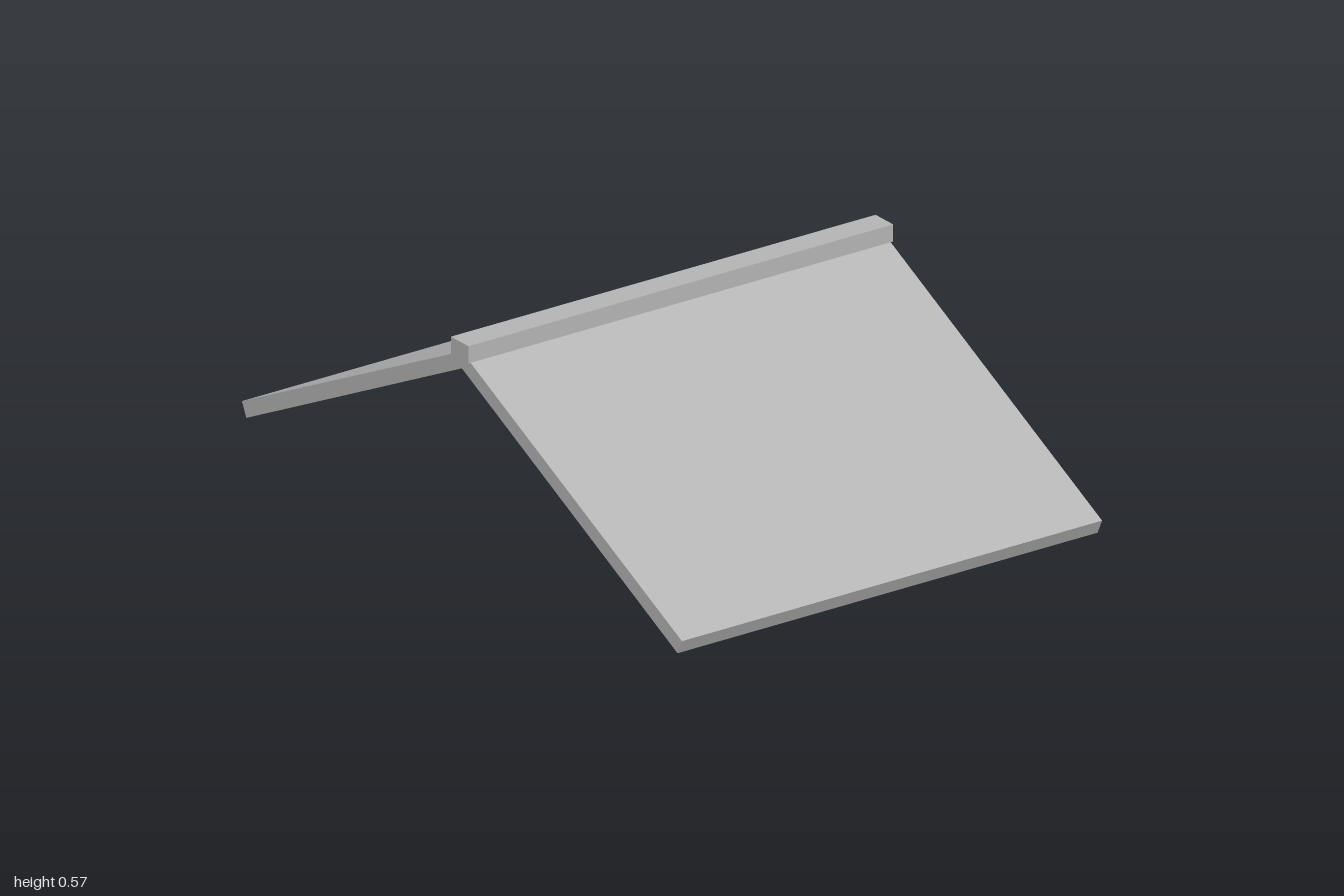
import * as THREE from 'three';

export function createModel() {
  const model = new THREE.Group();
  model.name = 'gableRoof';
  const grey = new THREE.MeshStandardMaterial({ color: 0xb4b4b4 });
  grey.name = 'roofGrey';

  // Sloping slabs, mitred at the ridge and cut square at the eaves
  const depth = 1.385;
  for (const side of [1, -1]) {
    const section = new THREE.Shape(
      [[0, 0.486], [0.98, 0], [1, 0.042], [0, 0.535]].map(([x, y]) => new THREE.Vector2(side * x, y))
    );
    const geometry = new THREE.ExtrudeGeometry(section, { depth, bevelEnabled: false });
    geometry.translate(0, 0, -depth / 2);
    const slab = new THREE.Mesh(geometry, grey);
    slab.name = side > 0 ? 'leftRoofSlab' : 'rightRoofSlab';
    model.add(slab);
  }

  // Ridge cap, slightly longer than the slabs
  const cap = new THREE.Mesh(new THREE.BoxGeometry(0.08, 0.05, 1.4), grey);
  cap.name = 'ridgeCap';
  cap.position.y = 0.541;
  model.add(cap);

  return model;
}
